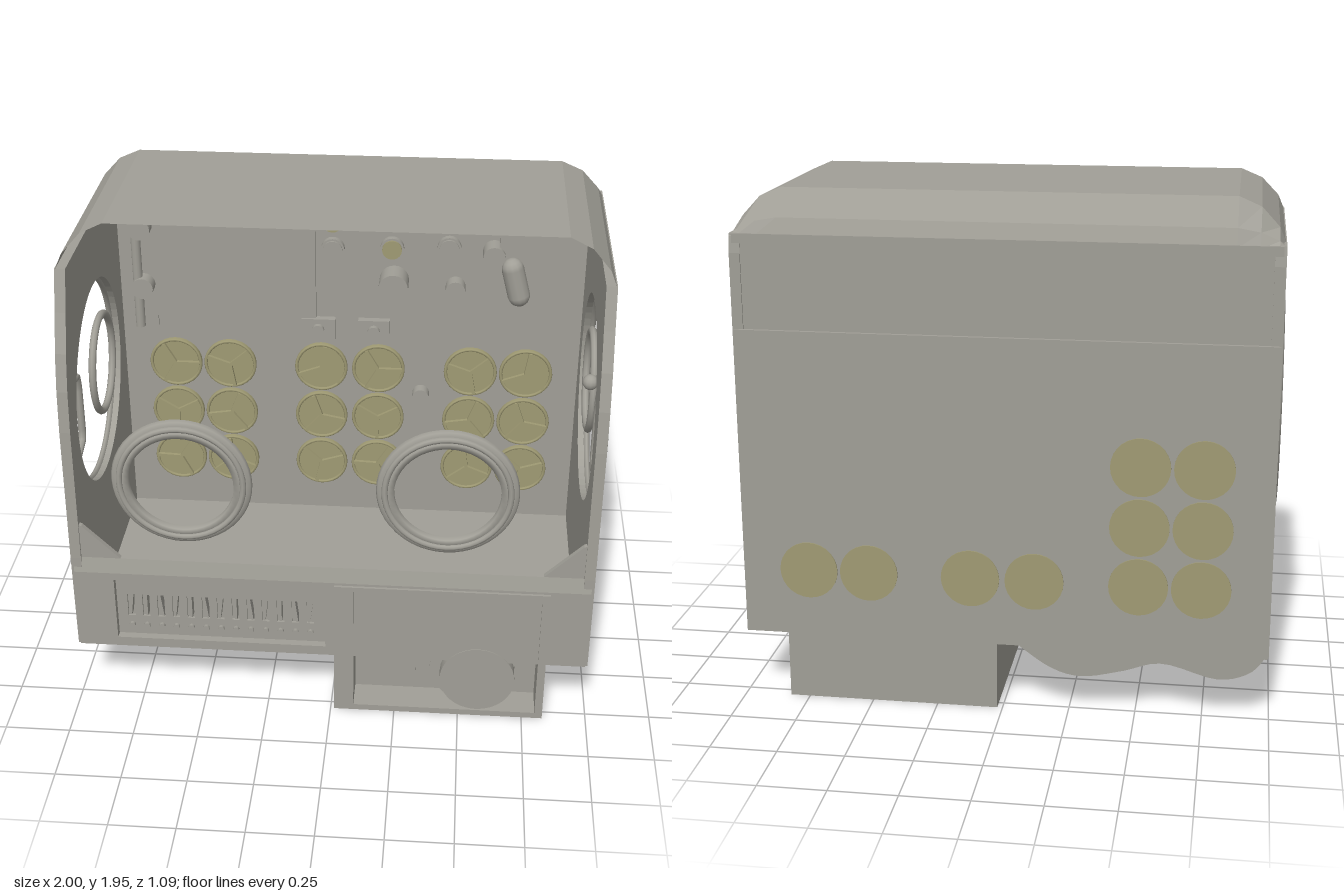
import * as THREE from 'three';

export function createModel() {
  const root = new THREE.Group();
  const grey = new THREE.MeshStandardMaterial({ color: 0xa19f97, side: THREE.DoubleSide });
  grey.name = 'warm grey';
  const olive = new THREE.MeshStandardMaterial({ color: 0xa09b74, side: THREE.DoubleSide });
  olive.name = 'olive';

  const add = (name, geo, x = 0, y = 0, z = 0, mat = grey) => {
    const m = new THREE.Mesh(geo, mat);
    m.name = name;
    m.position.set(x, y, z);
    root.add(m);
    return m;
  };
  // box from its limits
  const box = (name, x0, x1, y0, y1, z0, z1, mat) =>
    add(name, new THREE.BoxGeometry(x1 - x0, y1 - y0, z1 - z0), (x0 + x1) / 2, (y0 + y1) / 2, (z0 + z1) / 2, mat);
  // cylinder along z, starting at z
  const knob = (name, x, y, z, r, len, mat, sides = 20) =>
    add(name, new THREE.CylinderGeometry(r, r, len, sides).rotateX(Math.PI / 2), x, y, z + len / 2, mat);
  const shapeOf = pts => new THREE.Shape(pts.map(p => new THREE.Vector2(p[0], p[1])));
  const rect = (x0, x1, y0, y1) => shapeOf([[x0, y0], [x1, y0], [x1, y1], [x0, y1]]);
  const plate = (shape, depth) => new THREE.ExtrudeGeometry(shape, { depth, bevelEnabled: false, curveSegments: 32 });

  // side walls with round ports; shape x is -z
  const wall = shapeOf([[-0.53, 0.26], [0.53, 0.26], [0.53, 1.72], [0.52, 1.79], [-0.375, 1.79],
    [-0.42, 1.64], [-0.47, 1.5], [-0.5, 1.36], [-0.515, 1.2], [-0.53, 0.66]]);
  const port = new THREE.Path();
  port.absarc(0, 1.15, 0.4, 0, Math.PI * 2);
  wall.holes.push(port);
  for (const s of [-1, 1]) {
    add('sideWall', plate(wall, 0.04).rotateY(Math.PI / 2), s * 0.97 - 0.02);
    for (const [r, t] of [[0.445, 0.022], [0.41, 0.022]])
      add('sidePortRim', new THREE.TorusGeometry(r, t, 8, 48).scale(1, 1, 0.6).rotateY(Math.PI / 2), s * 0.985, 1.15, 0);
    add('sideGloveRing', new THREE.TorusGeometry(0.185, 0.015, 8, 36).scale(1, 1.07, 1).rotateY(Math.PI / 2), s * 0.97, 1.145, -0.15);
    // handle at the front of the side port
    const grip = new THREE.CatmullRomCurve3([[1.0, 0.385], [1.03, 0.28], [1.07, 0.265], [1.25, 0.265], [1.31, 0.28], [1.32, 0.35]]
      .map(p => new THREE.Vector3(0, p[0], p[1])), false, 'catmullrom', 0.2);
    add('sideHandle', new THREE.TubeGeometry(grip, 30, 0.015, 8), s * 0.97);
    // lower corner gussets of the window
    add('windowGusset', plate(shapeOf([[s * 0.97, 0.64], [s * 0.97, 0.81], [s * 0.94, 0.8], [s * 0.8, 0.66], [s * 0.8, 0.64]]), 0.02), 0, 0, 0.5);
  }

  // hood: arched cross-sections running from the front edge to the back
  const arch = [[-0.99, 1.78], [-0.965, 1.84], [-0.9, 1.91], [-0.82, 1.945], [0.82, 1.945], [0.9, 1.91], [0.965, 1.84], [0.99, 1.78]];
  const rows = [
    arch.map(([x, y]) => [x, y, 0.32 + (1.945 - y) * 0.36]),
    arch.map(([x, y]) => [x, y, -0.42]),
    arch.map(([x, y]) => [x, 1.78 + (y - 1.78) * 0.4, -0.495]),
    arch.map(([x]) => [x, 1.78, -0.522]),
  ];
  const pos = [];
  for (let i = 0; i < rows.length - 1; i++)
    for (let j = 0; j < arch.length - 1; j++) {
      const [a, b, c, d] = [rows[i][j], rows[i][j + 1], rows[i + 1][j + 1], rows[i + 1][j]];
      pos.push(...a, ...b, ...c, ...a, ...c, ...d);
    }
  const hood = new THREE.BufferGeometry();
  hood.setAttribute('position', new THREE.Float32BufferAttribute(pos, 3));
  hood.computeVertexNormals();
  add('hood', hood);

  // back and floor
  box('backWall', -0.98, 0.98, 0.26, 1.79, -0.525, -0.5);
  box('backOuterPlate', -0.985, 0.985, 0.26, 1.44, -0.54, -0.525);
  box('floor', -0.97, 0.97, 0.26, 0.28, -0.53, 0.52);

  // wavy skirt under the back, fading to the front edge
  const wave = new THREE.SplineCurve([[-0.98, 0.27], [-0.92, 0.2], [-0.8, 0.17], [-0.6, 0.22], [-0.45, 0.18],
    [-0.3, 0.15], [-0.18, 0.18], [-0.05, 0.27]].map(p => new THREE.Vector2(p[0], p[1])));
  const wavePts = wave.getPoints(32);
  add('backSkirt', plate(new THREE.Shape(wavePts), 0.015), 0, 0, -0.54);
  const under = new THREE.PlaneGeometry(1, 1, 32, 1);
  const up = under.attributes.position;
  for (let i = 0; i <= 32; i++) {
    up.setXYZ(i, wavePts[i].x, wavePts[i].y, -0.54);
    up.setXYZ(i + 33, wavePts[i].x, 0.262, 0.52);
  }
  under.computeVertexNormals();
  add('underside', under);

  // front console with a sunken slotted panel
  const front = shapeOf([[-0.98, 0.26], [0.98, 0.26], [0.98, 0.6], [-0.98, 0.6]]);
  front.holes.push(rect(-0.83, -0.02, 0.3, 0.57));
  add('consoleFront', plate(front, 0.045), 0, 0, 0.49);
  const sill = shapeOf([[-0.535, 0.6], [-0.49, 0.6], [-0.49, 0.66], [-0.52, 0.66]]);
  add('windowSill', plate(sill, 1.96).rotateY(Math.PI / 2), -0.98);
  const vent = rect(-0.83, -0.02, 0.3, 0.57);
  for (let i = 0; i < 13; i++) {
    const x = -0.775 + i * 0.058;
    vent.holes.push(rect(x - 0.014, x + 0.014, 0.385, 0.485));
    knob('ventStud', x, 0.345, 0.505, 0.012, 0.012, grey, 10);
    box('ventVane', x - 0.004, x + 0.004, 0.38, 0.49, 0.46, 0.5).rotation.z = (i % 3 - 1) * 0.12;
  }
  add('ventPanel', plate(vent, 0.01), 0, 0, 0.495);
  box('ventBacking', -0.83, -0.02, 0.3, 0.57, 0.44, 0.45);

  // lower equipment box with a recessed front
  box('equipmentBase', 0.02, 0.825, 0.0, 0.26, -0.54, 0.42);
  box('equipmentRecess', 0.02, 0.825, 0.26, 0.59, 0.39, 0.42);
  const frame = rect(0.015, 0.83, 0.005, 0.59);
  frame.holes.push(rect(0.09, 0.8, 0.03, 0.57));
  add('equipmentFrame', plate(frame, 0.13), 0, 0, 0.415);
  box('equipmentPlate', 0.12, 0.33, 0.07, 0.5, 0.42, 0.435);
  box('equipmentShelf', 0.4, 0.78, 0.36, 0.38, 0.42, 0.46);
  const drum = new THREE.Group();
  drum.name = 'drum';
  [[0.155, 0.08, 0], [0.165, 0.02, 0.04], [0.145, 0.07, 0.07]].forEach(([r, l, z], i) => {
    const m = new THREE.Mesh(new THREE.CylinderGeometry(r, r, l, 32).rotateX(Math.PI / 2), grey);
    m.name = 'drumPart';
    m.position.set(0.53 + i * 0.02, 0.205 - i * 0.015, 0.44 + z * 0.9);
    drum.add(m);
  });
  root.add(drum);

  // front glove port rings
  const ringProfile = [[0.2, -0.012], [0.2, 0.018], [0.22, 0.018], [0.225, 0.008], [0.245, 0.01], [0.262, 0.004], [0.268, -0.008], [0.262, -0.018], [0.2, -0.012]]
    .map(p => new THREE.Vector2(p[0], p[1]));
  for (const x of [-0.57, 0.43]) {
    add('gloveRing', new THREE.LatheGeometry(ringProfile, 48).rotateX(Math.PI / 2), x, 0.945, 0.415);
    add('gloveRingBead', new THREE.TorusGeometry(0.235, 0.012, 8, 48), x, 0.945, 0.425);
  }

  // round cells on the back wall, each with three dividers
  [-0.735, -0.505, -0.12, 0.12, 0.505, 0.735].forEach((x, c) => {
    [0.98, 0.75, 0.52].forEach((y, r) => {
      knob('cell', x, y, -0.5, 0.11, 0.012, olive, 28);
      add('cellRim', new THREE.TorusGeometry(0.104, 0.007, 6, 28), x, y, -0.487, olive);
      for (let k = 0; k < 3; k++) {
        const a = c * 0.7 + r * 0.5 + k * Math.PI * 2 / 3;
        const bar = new THREE.BoxGeometry(0.1, 0.014, 0.02).translate(0.05, 0, 0).rotateZ(a);
        add('cellDivider', bar, x, y, -0.483, olive);
      }
      // matching plates outside
      if (c < 2 || r === 2) knob('backDisc', x, y, -0.545, 0.11, 0.006, olive, 28);
    });
  });

  // instruments on the back wall
  box('screenPanel', -0.8, -0.14, 1.2, 1.72, -0.5, -0.48);
  box('pipeBracket', -0.9, -0.8, 1.15, 1.72, -0.5, -0.49);
  add('pipe', new THREE.CylinderGeometry(0.02, 0.02, 0.54, 12), -0.87, 1.43, -0.46);
  for (const y of [1.34, 1.6]) knob('pipeValve', -0.85, y, -0.49, 0.045, 0.06);
  for (const [x, y, mat] of [[-0.07, 1.64, olive], [0.17, 1.53, olive], [-0.07, 1.52, grey], [0.4, 1.54, grey]]) {
    knob('gaugeRim', x, y, -0.5, 0.048, 0.025);
    knob('gaugeFace', x, y, -0.475, 0.04, 0.008, mat);
  }
  for (const [x, y, w, h] of [[-0.13, 1.165, 0.14, 0.09], [0.1, 1.165, 0.13, 0.09], [0.41, 1.655, 0.09, 0.1], [0.27, 1.64, 0.08, 0.1]]) {
    box('switchBox', x - w / 2, x + w / 2, y - h / 2, y + h / 2, -0.5, -0.47);
    knob('switchButton', x, y, -0.47, 0.025, 0.02);
  }
  for (const [x, y, r, l] of [[0.18, 1.39, 0.06, 0.1], [0.43, 1.37, 0.04, 0.06], [0.58, 1.66, 0.045, 0.08], [0.58, 1.53, 0.045, 0.08], [0.3, 0.87, 0.035, 0.05]])
    knob('valveKnob', x, y, -0.5, r, l);
  add('valveLever', new THREE.CapsuleGeometry(0.045, 0.12, 4, 12), 0.67, 1.43, -0.42).rotation.z = 0.25;
  box('valveStem', 0.6, 0.64, 1.5, 1.64, -0.5, -0.44);
  add('sideLatch', new THREE.SphereGeometry(0.03, 12, 8), 0.94, 1.32, 0.2);

  return root;
}
